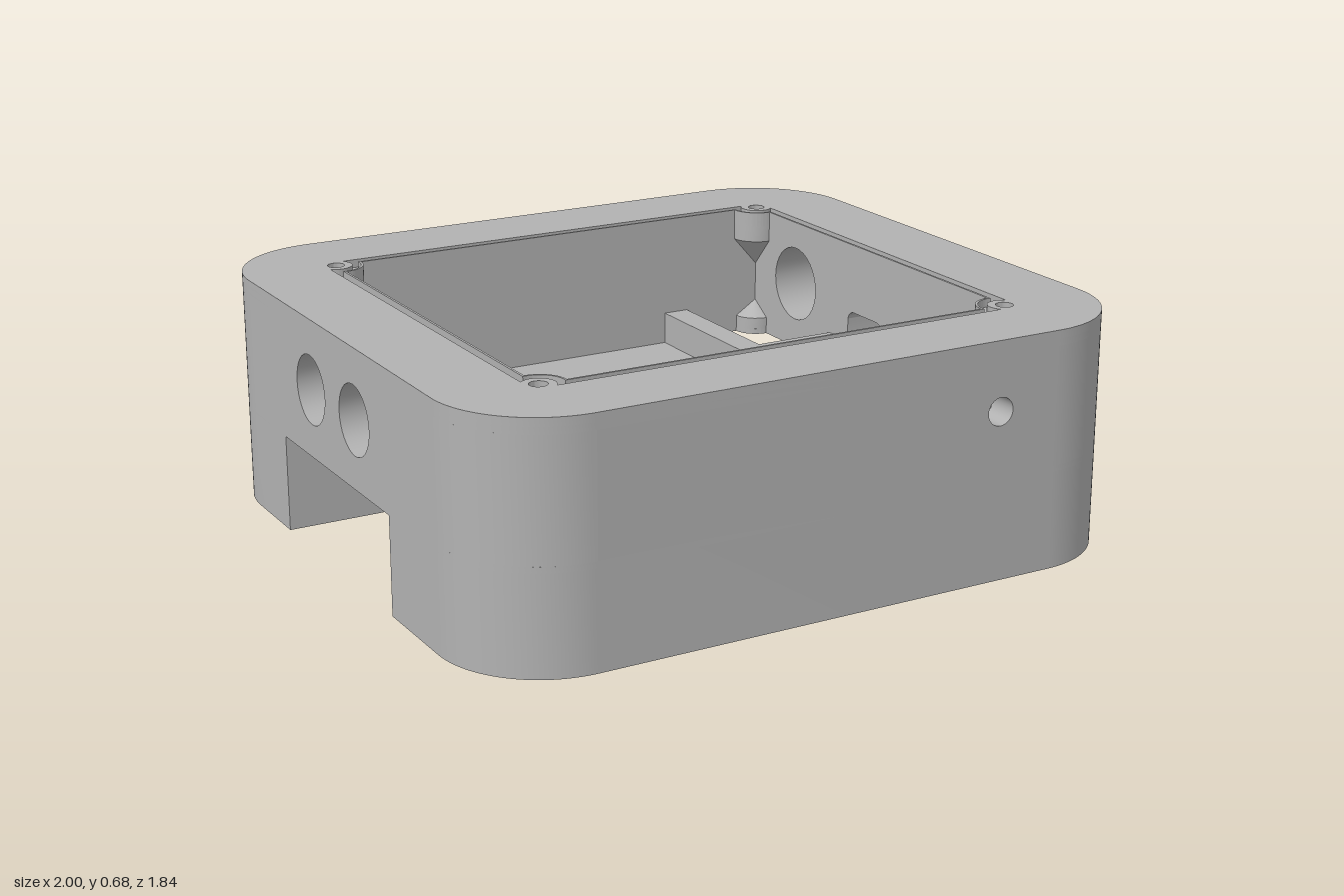
import * as THREE from 'three';
import { toCreasedNormals } from 'three/addons/utils/BufferGeometryUtils.js';

const PI = Math.PI;
const W = 1, D = 0.92, R = 0.3;          // outer half sizes and corner radius
const CX = 0.72, CZ = 0.65;              // cavity half sizes
const NOTCH = 0.283, SKIN = 0.30, RIM = 0.64, GROOVE = 0.66, TOP = 0.684;
const LIP = 0.007, SEAL = 0.032;         // inner and outer edge of the seal grooves

const poly = pts => new THREE.Shape(pts.map(p => new THREE.Vector2(...p)));
const rect = (x0, y0, x1, y1) => poly([[x0, y0], [x1, y0], [x1, y1], [x0, y1]]);

function circle(x, y, r) {
  const s = new THREE.Shape();
  s.absarc(x, y, r, 0, PI * 2, false);
  return s;
}

function hexagon(x, y, r) {
  return poly(Array.from({ length: 6 }, (_, i) => {
    const a = PI / 2 + i * PI / 3;
    return [x + r * Math.cos(a), y + r * Math.sin(a)];
  }));
}

function roundRect(x0, y0, x1, y1, r) {
  const s = new THREE.Shape();
  s.absarc(x1 - r, y1 - r, r, 0, PI / 2, false);
  s.absarc(x0 + r, y1 - r, r, PI / 2, PI, false);
  s.absarc(x0 + r, y0 + r, r, PI, PI * 1.5, false);
  s.absarc(x1 - r, y0 + r, r, PI * 1.5, PI * 2, false);
  s.closePath();
  return s;
}

// Rectangle grown by d, bent inwards around a screw boss at each corner
function bossOutline([x0, z0, x1, z1], bossR, d) {
  const s = new THREE.Shape(), r = bossR - d, a = Math.asin(d / r);
  [[x0, z0, 0], [x1, z0, PI / 2], [x1, z1, PI], [x0, z1, PI * 1.5]].forEach(([x, z, t]) =>
    s.absarc(x, z, r, t + PI / 2 + a, t - a, true));
  s.closePath();
  return s;
}

const corners = ([x0, z0, x1, z1]) => [[x0, z0], [x1, z0], [x1, z1], [x0, z1]];

export function createModel() {
  const group = new THREE.Group();
  const grey = new THREE.MeshStandardMaterial({ color: 0xb2b2b2 });
  grey.name = 'grey plastic';

  const add = (name, geo) => {
    const mesh = new THREE.Mesh(toCreasedNormals(geo, 0.5), grey);
    mesh.name = name;
    group.add(mesh);
    return mesh;
  };
  const extrude = (shape, holes, depth) => {
    shape.holes.push(...holes);
    return new THREE.ExtrudeGeometry(shape, { depth, bevelEnabled: false, curveSegments: 16 });
  };
  // Horizontal layer: shape drawn in x, z
  const layer = (name, shape, holes, y0, y1) =>
    add(name, extrude(shape, holes, y1 - y0).rotateX(PI / 2).translate(0, y1, 0));
  // Upright walls: shape drawn in x, y or in -z, y
  const wallZ = (name, holes, z0, z1) =>
    add(name, extrude(rect(R - W, SKIN, W - R, RIM), holes, z1 - z0).translate(0, 0, z0));
  const wallX = (name, holes, x0, x1) =>
    add(name, extrude(rect(R - D, SKIN, D - R, RIM), holes, x1 - x0).rotateY(PI / 2).translate(x0, 0, 0));
  // Screw boss with a tapering end; dir is the way the taper points
  const boss = (name, x, z, r, y, straight, taper, dir) => {
    add(name, new THREE.CylinderGeometry(r, r, straight, 32).translate(x, y + dir * straight / 2, z));
    const cone = new THREE.ConeGeometry(r, taper, 32, 1, true);
    if (dir < 0) cone.rotateX(PI);
    add(name + 'Taper', cone.translate(x, y + dir * (straight + taper / 2), z));
  };

  const outer = () => roundRect(-W, -D, W, D, R);
  const cavity = [-CX, -CZ, CX, CZ];
  const leftPort = [-CX, -0.33, -0.47, 0.28];
  const rightPort = [0.465, -CZ, CX, -0.215];
  const ports = [leftPort, rightPort];

  // Thick base with a side notch and a corner notch
  const base = new THREE.Shape();
  base.moveTo(W, -0.16);
  base.lineTo(0.42, -0.16);
  base.lineTo(0.42, -D);
  base.absarc(R - W, R - D, R, PI * 1.5, PI, true);
  base.lineTo(-W, -0.385);
  base.lineTo(-0.42, -0.385);
  base.lineTo(-0.42, 0.335);
  base.lineTo(-W, 0.335);
  base.absarc(R - W, D - R, R, PI, PI / 2, true);
  base.absarc(W - R, D - R, R, PI / 2, 0, true);
  base.closePath();
  layer('base', base, [], 0, NOTCH);

  // Notch ceilings with seal grooves and screw holes, open over the floor
  const floorOpening = poly([[-CX, CZ], [CX, CZ], [CX, -0.13], [0.385, -0.13], [0.385, -CZ],
    [-CX, -CZ], [-CX, -0.41], [-0.39, -0.41], [-0.39, 0.365], [-CX, 0.365]]);
  layer('notchCeiling', outer(), [floorOpening,
    ...ports.map(p => bossOutline(p, 0.07, SEAL)),
    ...ports.flatMap(corners).map(([x, z]) => circle(x, z, 0.018))], NOTCH, SKIN);
  ports.forEach(p => {
    layer('portLip', bossOutline(p, 0.07, LIP), [bossOutline(p, 0.07, 0)], NOTCH, SKIN);
    corners(p).forEach(([x, z]) => boss('portBoss', x, z, 0.07, SKIN, 0.035, 0.045, 1));
  });

  // Raised frames inside, around the two ports
  layer('leftFrame', poly([[-CX, -0.41], [-0.39, -0.41], [-0.39, 0.365], [-CX, 0.365],
    [-CX, 0.28], [-0.47, 0.28], [-0.47, -0.33], [-CX, -0.33]]), [], SKIN, 0.435);
  layer('rightFrame', poly([[0.385, -CZ], [0.465, -CZ], [0.465, -0.215], [CX, -0.215],
    [CX, -0.13], [0.385, -0.13]]), [], SKIN, 0.38);

  // Rounded corner blocks
  for (const sx of [-1, 1]) for (const sz of [-1, 1]) {
    const pts = [[CX, D - R], [CX, CZ], [W - R, CZ]];
    for (let i = 0; i <= 24; i++) {
      const a = PI / 2 * (1 - i / 24);
      pts.push([W - R + R * Math.cos(a), D - R + R * Math.sin(a)]);
    }
    layer('cornerBlock', poly(pts.map(([x, z]) => [x * sx, z * sz])), [], SKIN, RIM);
  }

  // Front and back walls; small hole with a hexagonal pocket inside
  wallZ('backWall', [], -D, -CZ);
  wallZ('frontWallInner', [hexagon(0.515, 0.485, 0.055)], CZ, 0.83);
  wallZ('frontWallOuter', [circle(0.515, 0.485, 0.04)], 0.83, D);

  // Left wall: two round holes with hexagonal pockets inside
  const leftHoles = [0.176, -0.123];
  wallX('leftWallOuter', leftHoles.map(u => circle(u, 0.48, 0.1)), -W, -0.9);
  wallX('leftWallInner', leftHoles.map(u => hexagon(u, 0.48, 0.118)), -0.9, -CX);

  // Right wall: large round hole and a recessed socket with two screw holes
  wallX('rightWallInner', [circle(0.413, 0.488, 0.115),
    roundRect(-0.065, 0.345, 0.115, 0.475, 0.03)], CX, 0.95);
  wallX('rightWallOuter', [circle(0.413, 0.488, 0.115),
    roundRect(-0.09, 0.32, 0.14, 0.497, 0.05),
    circle(-0.135, 0.408, 0.023), circle(0.19, 0.408, 0.023)], 0.95, W);

  // Top rim with seal groove, lip and corner screw holes
  const screws = () => corners(cavity).map(([x, z]) => circle(x, z, 0.025));
  layer('rimBase', outer(), [bossOutline(cavity, 0.08, 0), ...screws()], RIM, GROOVE);
  layer('rimTop', outer(), [bossOutline(cavity, 0.08, SEAL), ...screws()], GROOVE, TOP);
  layer('rimLip', bossOutline(cavity, 0.08, LIP), [bossOutline(cavity, 0.08, 0)], GROOVE, TOP);
  corners(cavity).forEach(([x, z]) => boss('rimBoss', x, z, 0.08, RIM, 0.05, 0.09, -1));

  return group;
}
